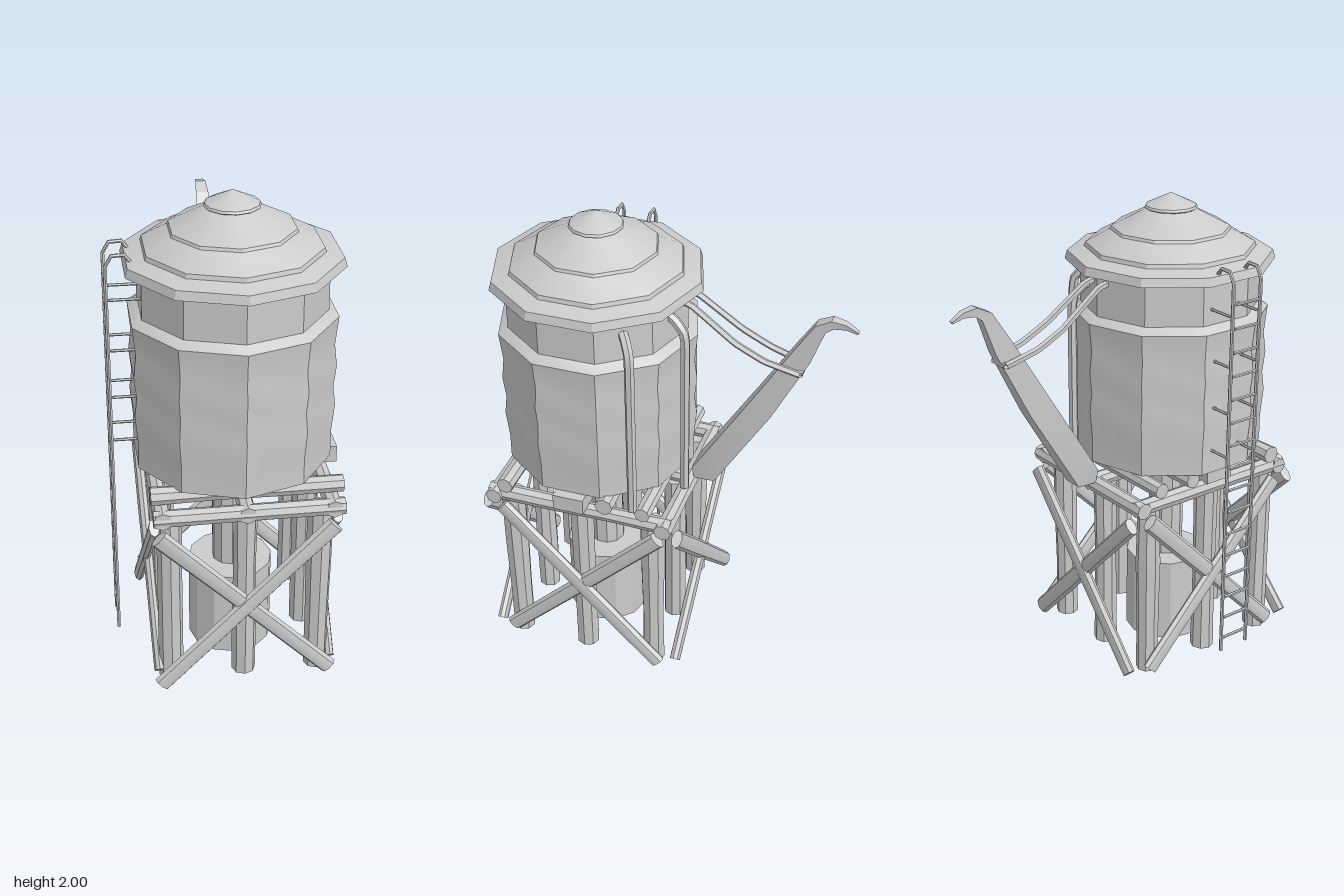
import * as THREE from 'three';
import { toCreasedNormals } from 'three/addons/utils/BufferGeometryUtils.js';

const CX = 0.03, CZ = 0.31; // tank axis
const V = (x, y, z) => new THREE.Vector3(x, y, z);

export function createModel() {
  const model = new THREE.Group();
  const mat = new THREE.MeshStandardMaterial({ color: 0xcccccc, side: THREE.DoubleSide });

  function add(name, geo, parent = model) {
    const mesh = new THREE.Mesh(toCreasedNormals(geo, 0.5), mat);
    mesh.name = name;
    parent.add(mesh);
    return mesh;
  }

  function group(name) {
    const g = new THREE.Group();
    g.name = name;
    model.add(g);
    return g;
  }

  // Hewn log from a to b, slightly uneven along its length
  let seed = 7;
  const rand = () => (seed = (seed * 16807) % 2147483647) / 2147483647;
  function log(name, a, b, r, parent, flat = 1) {
    const geo = new THREE.CylinderGeometry(r, r, a.distanceTo(b), 8, 3);
    const p = geo.attributes.position;
    const scale = {};
    for (let i = 0; i < p.count; i++) {
      const key = p.getY(i).toFixed(3);
      scale[key] ??= 0.9 + 0.16 * rand();
      p.setX(i, p.getX(i) * scale[key]);
      p.setZ(i, p.getZ(i) * scale[key] * flat);
    }
    const mesh = add(name, toCreasedNormals(geo, 0.9), parent);
    mesh.position.copy(a).add(b).multiplyScalar(0.5);
    mesh.quaternion.setFromUnitVectors(V(0, 1, 0), b.clone().sub(a).normalize());
    return mesh;
  }

  function lathe(name, pts, sides) {
    const geo = new THREE.LatheGeometry(pts.map(([r, y]) => new THREE.Vector2(r, y)), sides);
    const mesh = add(name, geo);
    mesh.position.set(CX, 0, CZ);
    return mesh;
  }

  function pipe(name, pts, r, parent, sides = 6) {
    const path = new THREE.CurvePath();
    for (let i = 1; i < pts.length; i++) path.add(new THREE.LineCurve3(pts[i - 1], pts[i]));
    const curve = new THREE.CatmullRomCurve3(pts, false, 'catmullrom', 0.1);
    return add(name, new THREE.TubeGeometry(curve, pts.length * 5, r, sides), parent);
  }

  // Ten-sided tank with wavy cladding
  lathe('tank', [[0, 0.91], [0.403, 0.91], [0.402, 1.02], [0.413, 1.14], [0.403, 1.22],
    [0.413, 1.31], [0.402, 1.4], [0.414, 1.52], [0.374, 1.545], [0.373, 1.74]], 10);

  // Stepped roof with eave and cap
  lathe('roof', [[0.3, 1.74], [0.435, 1.725], [0.425, 1.76], [0.355, 1.778], [0.35, 1.795],
    [0.25, 1.85], [0.245, 1.862], [0.1, 1.935]], 10);
  lathe('roofCap', [[0.09, 1.93], [0.11, 1.94], [0.105, 1.95], [0, 2]], 12);

  // Supply column below the tank
  lathe('columnBase', [[0, 0], [0.175, 0], [0.175, 0.38], [0, 0.38]], 12);
  lathe('columnPipe', [[0.075, 0.37], [0.075, 0.92]], 10);

  // Posts: a three by three grid without the middle
  const posts = group('posts');
  const px = [-0.255, 0.045, 0.345], pz = [-0.015, 0.295, 0.605];
  px.forEach((x, i) => pz.forEach((z, j) => {
    if (i === 1 && j === 1) return;
    log('post', V(x, 0.015, z), V(x, 0.79, z), 0.05, posts);
  }));

  // Cross braces on all four sides
  const braces = group('crossBraces');
  for (const s of [-1, 1]) {
    for (const [z, d] of [[0.705, 1], [-0.138, -1]]) {
      const b = log('brace', V(0.04 - s * 0.345, 0.055, z + d * s * 0.012),
        V(0.04 + s * 0.345, 0.755, z - d * s * 0.004), 0.038, braces, 0.6);
      b.updateMatrix();
    }
    for (const [x, d] of [[-0.318, -1], [0.412, 1]]) {
      const b = log('brace', V(x + d * s * 0.012, 0.055, 0.285 - s * 0.345),
        V(x - d * s * 0.004, 0.755, 0.285 + s * 0.345), 0.038, braces, 0.6);
      // turn the flat side outward
      b.rotateY(Math.PI / 2);
    }
  }

  // Platform: lower frame and upper joists
  const platform = group('platform');
  for (const z of [-0.085, 0.655]) log('frameLog', V(-0.32, 0.81, z), V(0.43, 0.81, z), 0.035, platform);
  for (const x of [-0.285, 0.045, 0.385]) log('sideLog', V(x, 0.812, -0.11), V(x, 0.812, 0.685), 0.035, platform);
  for (const z of [0, 0.165, 0.6]) log('joist', V(-0.325, 0.88, z), V(0.43, 0.88, z), 0.036, platform);
  const beam = add('centreBeam', new THREE.BoxGeometry(0.775, 0.07, 0.13), platform);
  beam.position.set(0.067, 0.875, 0.31);

  // Ladder with hooked rails, rungs and wall brackets
  const ladder = group('ladder');
  for (const z of [0.235, 0.375]) {
    pipe('rail', [V(-0.452, 0.1, z), V(-0.452, 1.0, z), V(-0.452, 1.74, z), V(-0.44, 1.78, z),
      V(-0.405, 1.797, z), V(-0.37, 1.785, z), V(-0.35, 1.75, z)], 0.008, ladder);
    for (const y of [1.01, 1.2, 1.4, 1.61]) {
      pipe('bracket', [V(-0.452, y, z), V(-0.31, y, z)], 0.006, ladder);
    }
  }
  for (let y = 0.16; y < 1.75; y += 0.1) {
    pipe('rung', [V(-0.452, y, 0.235), V(-0.452, y, 0.375)], 0.007, ladder);
  }

  // Two hooked pipes running down the tank wall
  for (const angle of [18, 54]) {
    const a = THREE.MathUtils.degToRad(angle);
    const at = (d, y) => V(CX + Math.sin(a) * d, y, CZ - Math.cos(a) * d);
    pipe('wallPipe', [at(0.32, 1.665), at(0.37, 1.65), at(0.415, 1.61), at(0.425, 1.56),
      at(0.425, 1.2), at(0.425, 0.85)], 0.02, model, 6);
  }

  // Spout: box sections (upper z, y, lower z, y, half width) lofted from base to tip
  const sections = [
    [-0.1, 0.89, -0.105, 0.83, 0.05], [-0.125, 0.93, -0.195, 0.835, 0.055],
    [-0.345, 1.29, -0.42, 1.21, 0.046], [-0.5, 1.55, -0.565, 1.5, 0.034],
    [-0.575, 1.67, -0.615, 1.645, 0.027], [-0.635, 1.7, -0.645, 1.665, 0.022],
    [-0.69, 1.69, -0.69, 1.667, 0.016], [-0.74, 1.66, -0.735, 1.652, 0.009]];
  const pos = [], idx = [];
  for (const [uz, uy, lz, ly, w] of sections) {
    pos.push(CX - w, uy, uz, CX + w, uy, uz, CX + w * 0.8, ly, lz, CX - w * 0.8, ly, lz);
  }
  for (let i = 0; i < sections.length - 1; i++) {
    for (let j = 0; j < 4; j++) {
      const a = i * 4 + j, b = i * 4 + (j + 1) % 4;
      idx.push(a, b, a + 4, b, b + 4, a + 4);
    }
  }
  const e = (sections.length - 1) * 4;
  idx.push(0, 2, 1, 0, 3, 2, e, e + 1, e + 2, e, e + 2, e + 3);
  const spoutGeo = new THREE.BufferGeometry();
  spoutGeo.setAttribute('position', new THREE.Float32BufferAttribute(pos, 3));
  spoutGeo.setIndex(idx);
  spoutGeo.computeVertexNormals();
  add('spout', spoutGeo);

  // Sagging straps that hold the spout, joined beneath it
  const straps = group('spoutStraps');
  for (const s of [-1, 1]) {
    pipe('strap', [V(CX + s * 0.04, 1.69, -0.03), V(CX + s * 0.045, 1.68, -0.09),
      V(CX + s * 0.055, 1.55, -0.27), V(CX + s * 0.055, 1.49, -0.39),
      V(CX + s * 0.045, 1.45, -0.53)], 0.014, straps, 5);
  }
  pipe('strapLoop', [V(CX - 0.045, 1.45, -0.53), V(CX + 0.045, 1.45, -0.53)], 0.014, straps, 5);

  return model;
}
